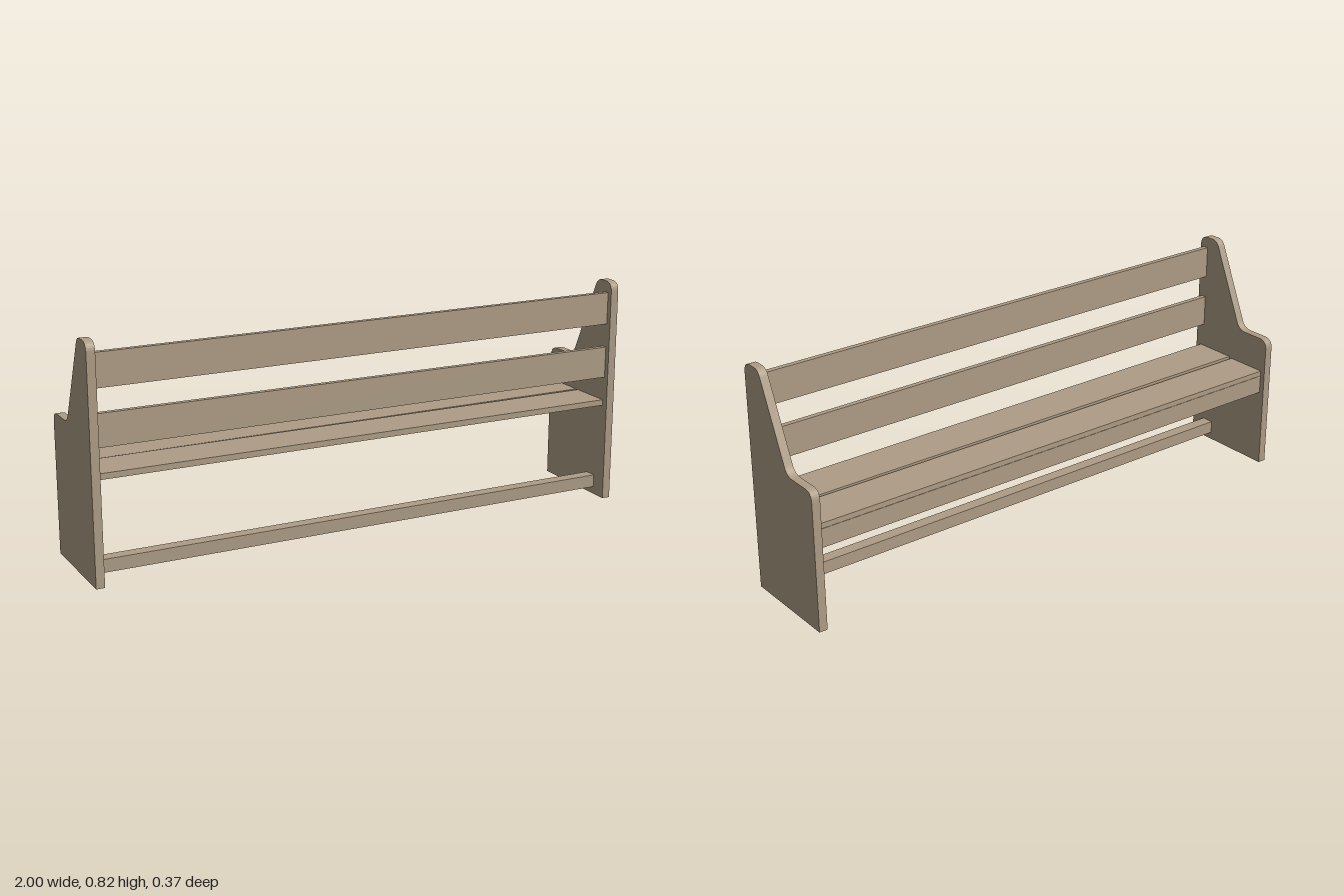
import * as THREE from 'three';

const wood = new THREE.MeshStandardMaterial({ color: 0xae9d86, flatShading: true });

// Side profile of an end panel, drawn as (z, y) with the tall back at +z
function panelGeometry(thickness) {
  const s = new THREE.Shape();
  s.moveTo(-0.184, 0);
  s.lineTo(0.184, 0);
  s.lineTo(0.184, 0.78);
  s.quadraticCurveTo(0.184, 0.816, 0.148, 0.816);
  s.lineTo(0.122, 0.816);
  s.quadraticCurveTo(0.1, 0.816, 0.089, 0.793);
  s.lineTo(-0.028, 0.53);
  s.quadraticCurveTo(-0.041, 0.501, -0.07, 0.501);
  s.lineTo(-0.148, 0.501);
  s.quadraticCurveTo(-0.184, 0.501, -0.184, 0.465);
  s.closePath();
  const g = new THREE.ExtrudeGeometry(s, { depth: thickness, bevelEnabled: false, curveSegments: 8 });
  g.rotateY(-Math.PI / 2);
  g.translate(thickness / 2, 0, 0);
  return g;
}

export function createModel() {
  const group = new THREE.Group();

  // Two matching end panels
  const panel = panelGeometry(0.03);
  for (const [name, side] of [['leftEndPanel', 1], ['rightEndPanel', -1]]) {
    const mesh = new THREE.Mesh(panel, wood);
    mesh.name = name;
    mesh.position.x = side * 0.985;
    group.add(mesh);
  }

  // Boards spanning the panels: name, y range, z range, slight tilt
  const boards = [
    ['upperBackSlat', 0.66, 0.776, 0.147, 0.166, 0],
    ['lowerBackSlat', 0.463, 0.576, 0.147, 0.166, -0.002],
    ['rearSeatPlank', 0.355, 0.376, 0.002, 0.16, -0.002],
    ['frontSeatPlank', 0.355, 0.374, -0.166, -0.01, 0],
    ['seatApron', 0.287, 0.354, -0.166, -0.145, 0],
    ['footStretcher', 0.028, 0.074, 0.08, 0.125, 0],
  ];
  for (const [name, y0, y1, z0, z1, tilt] of boards) {
    const mesh = new THREE.Mesh(new THREE.BoxGeometry(1.938, y1 - y0, z1 - z0), wood);
    mesh.name = name;
    mesh.position.set(0, (y0 + y1) / 2, (z0 + z1) / 2);
    mesh.rotation.z = tilt;
    group.add(mesh);
  }

  return group;
}
